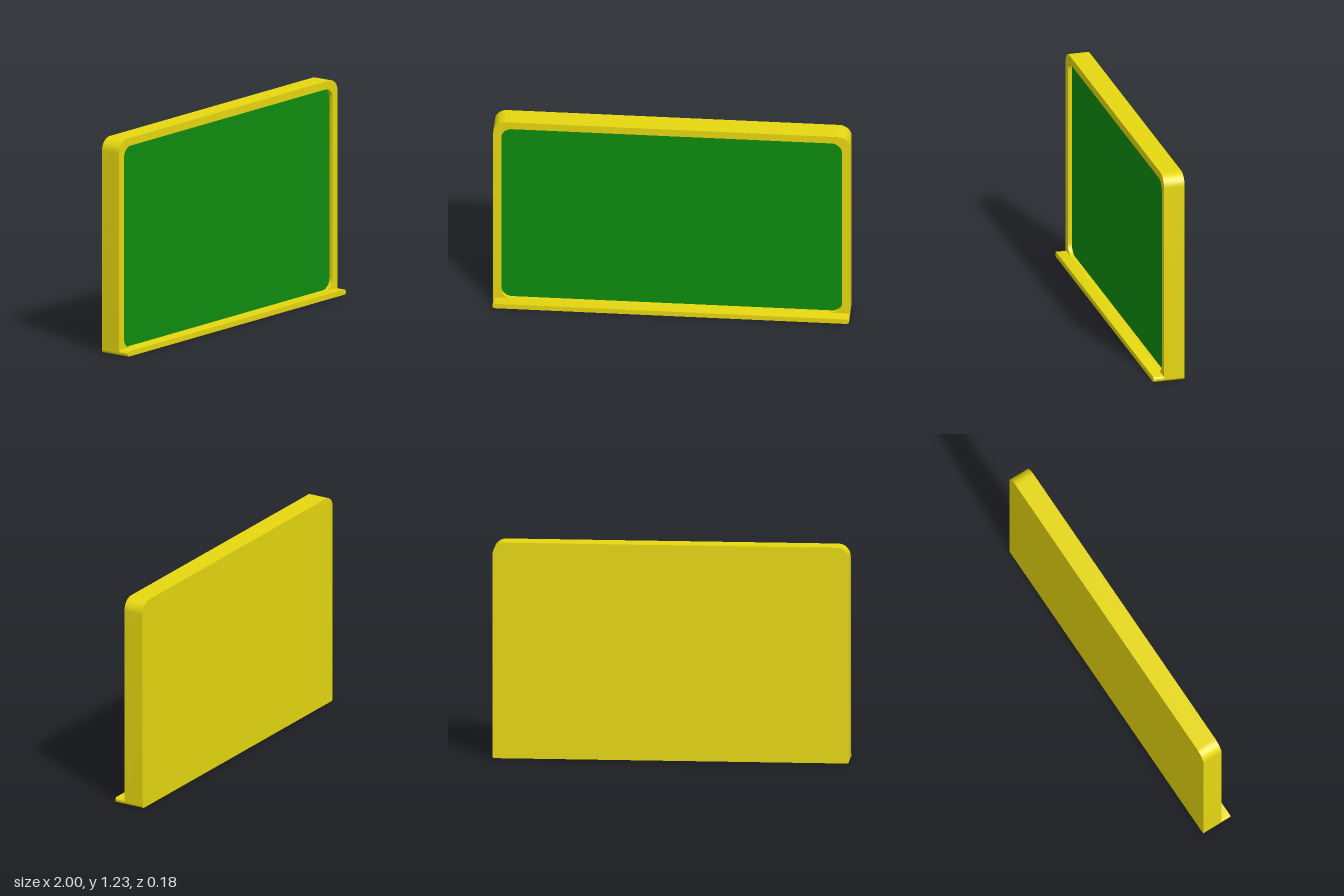
import * as THREE from 'three';
import { toCreasedNormals } from 'three/addons/utils/BufferGeometryUtils.js';

const yellow = new THREE.MeshStandardMaterial({ color: 0xe6d710 });
const green = new THREE.MeshStandardMaterial({ color: 0x0e8c0e });

// Upright rectangle with separate top and bottom corner radii
function roundedRect(halfW, y0, y1, rTop, rBottom, Type = THREE.Shape) {
  const s = new Type();
  s.absarc(halfW - rBottom, y0 + rBottom, rBottom, -Math.PI / 2, 0);
  s.absarc(halfW - rTop, y1 - rTop, rTop, 0, Math.PI / 2);
  s.absarc(-halfW + rTop, y1 - rTop, rTop, Math.PI / 2, Math.PI);
  s.absarc(-halfW + rBottom, y0 + rBottom, rBottom, Math.PI, Math.PI * 1.5);
  s.closePath();
  return s;
}

// Extrude a shape between two depths, smooth around the corners
function slab(name, shape, z0, z1, material) {
  const geo = new THREE.ExtrudeGeometry(shape, { depth: z1 - z0, bevelEnabled: false, curveSegments: 12 });
  geo.translate(0, 0, z0);
  const mesh = new THREE.Mesh(toCreasedNormals(geo, 0.6), material);
  mesh.name = name;
  return mesh;
}

export function createModel() {
  const group = new THREE.Group();
  group.name = 'chalkboard';
  const zBack = -0.09, zBoard = 0.005, zFrame = 0.03, zTray = 0.09;
  const outline = () => roundedRect(1, 0, 1.23, 0.07, 0.015);
  const opening = (Type) => roundedRect(0.955, 0.03, 1.185, 0.06, 0.06, Type);

  // Solid backing
  group.add(slab('backing', outline(), zBack, zBoard, yellow));

  // Raised rim around the writing surface
  const rim = outline();
  rim.holes.push(opening(THREE.Path));
  group.add(slab('frame', rim, zBoard, zFrame, yellow));

  // Recessed writing surface
  const board = new THREE.Mesh(new THREE.ShapeGeometry(opening(), 12), green);
  board.name = 'writingSurface';
  board.position.z = zBoard + 0.002;
  group.add(board);

  // Chalk tray along the bottom edge
  group.add(slab('chalkTray', roundedRect(1, 0, 0.03, 0.0149, 0.0149), zFrame, zTray, yellow));

  return group;
}
